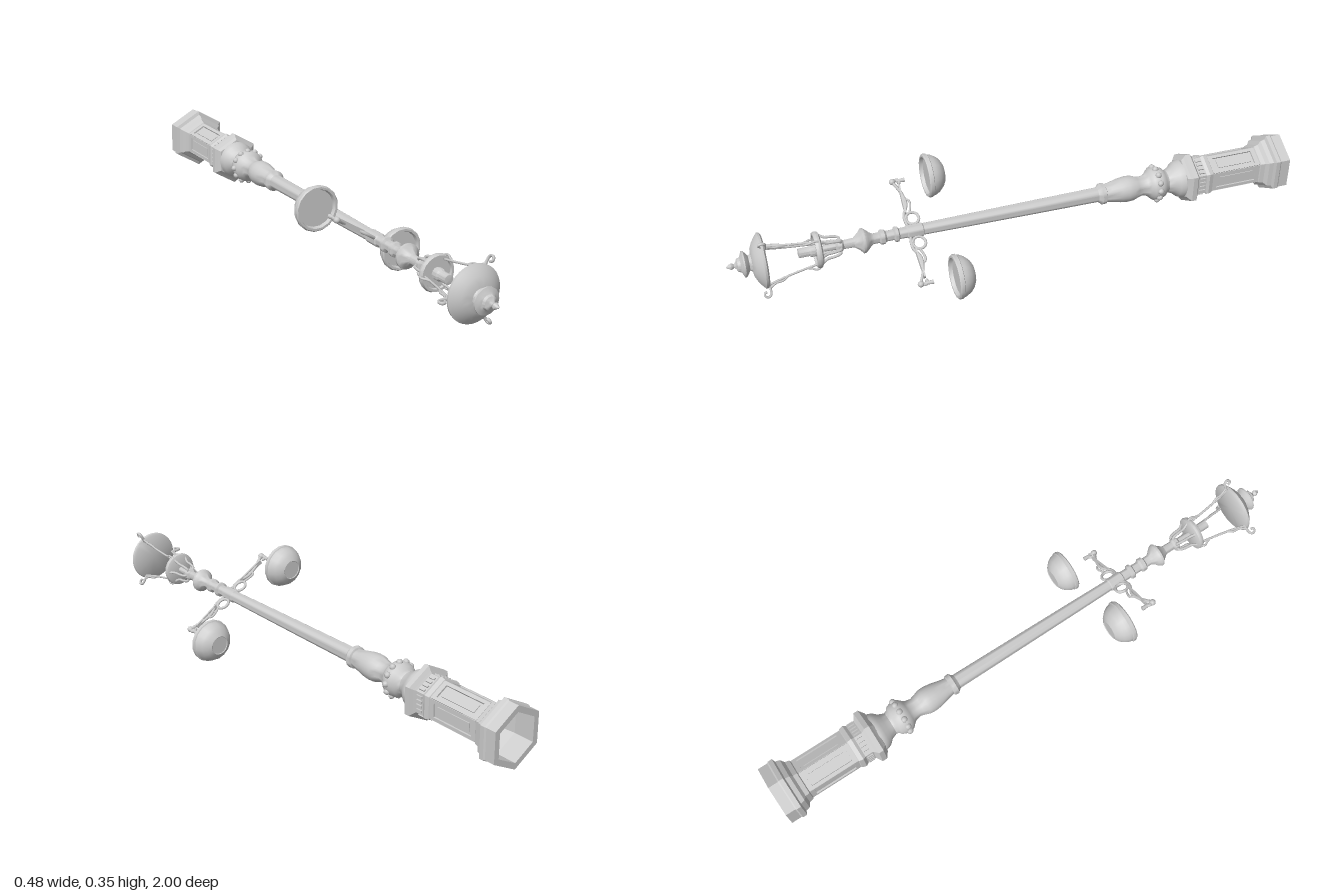
import * as THREE from 'three';
import { toCreasedNormals } from 'three/addons/utils/BufferGeometryUtils.js';

const smooth = new THREE.MeshStandardMaterial({ color: 0xcccccc, side: THREE.DoubleSide });
const faceted = new THREE.MeshStandardMaterial({ color: 0xcccccc, side: THREE.DoubleSide, flatShading: true });

function add(parent, name, geometry, material = smooth) {
  const mesh = new THREE.Mesh(geometry, material);
  mesh.name = name;
  parent.add(mesh);
  return mesh;
}

// profile: [radius, height] pairs from low to high
function lathe(profile, sides) {
  const geo = new THREE.LatheGeometry(profile.map(([r, h]) => new THREE.Vector2(r, h)), sides);
  return toCreasedNormals(geo, 0.7);
}

// round bar through [radius, height] points in the local XY plane
function bar(points, thickness, segments = 24) {
  const curve = new THREE.CatmullRomCurve3(points.map(([x, y]) => new THREE.Vector3(x, y, 0)));
  return new THREE.TubeGeometry(curve, segments, thickness, 6);
}

// spiral that ends a wrought bar
function scroll(cx, cy, r, start, turn, n = 8) {
  return Array.from({ length: n }, (_, i) => {
    const t = i / (n - 1), a = start + turn * t, rr = r * (1 - 0.45 * t);
    return [cx + rr * Math.cos(a), cy + rr * Math.sin(a)];
  });
}

function around(parent, name, count, offset, build) {
  for (let i = 0; i < count; i++) {
    const g = new THREE.Group();
    g.name = name;
    g.rotation.y = offset + (i * Math.PI * 2) / count;
    build(g);
    parent.add(g);
  }
}

function pedestal() {
  const g = new THREE.Group();
  g.name = 'pedestal';
  g.rotation.y = -0.03;
  // hollow hexagonal shell, open below
  add(g, 'pedestalShell', lathe([
    [0.085, -1], [0.107, -1], [0.107, -0.965], [0.111, -0.96], [0.111, -0.945], [0.098, -0.94],
    [0.094, -0.925], [0.08, -0.915], [0.076, -0.9], [0.066, -0.895], [0.066, -0.715], [0.076, -0.71],
    [0.08, -0.695], [0.074, -0.685], [0.074, -0.655], [0.082, -0.65], [0.096, -0.642], [0.096, -0.625],
    [0.086, -0.618], [0.076, -0.61], [0.04, -0.605],
  ], 6), faceted);
  add(g, 'pedestalLining', lathe([[0.085, -1], [0.085, -0.93], [0.06, -0.9], [0.06, -0.62]], 6), faceted);

  // framed panel and small blocks on each face
  around(g, 'pedestalFace', 6, 0, (face) => {
    const w = 0.035, low = -0.897, high = -0.712;
    const shape = new THREE.Shape([[-w, low], [w, low], [w, high], [-w, high]].map((p) => new THREE.Vector2(...p)));
    const hw = w - 0.011;
    shape.holes.push(new THREE.Path([[-hw, low + 0.016], [-hw, high - 0.016], [hw, high - 0.016], [hw, low + 0.016]]
      .map((p) => new THREE.Vector2(...p))));
    const frame = add(face, 'panelFrame', new THREE.ExtrudeGeometry(shape, { depth: 0.007, bevelEnabled: false }), faceted);
    const apothem = 0.066 * Math.cos(Math.PI / 6);
    frame.rotation.y = Math.PI / 2;
    frame.position.x = apothem - 0.001;
    const panel = add(face, 'raisedPanel', new THREE.BoxGeometry(0.006, 0.13, 0.03), faceted);
    panel.position.set(apothem, -0.805, 0);
    for (const z of [-0.024, -0.008, 0.008, 0.024]) {
      const block = add(face, 'dentil', new THREE.BoxGeometry(0.008, 0.022, 0.008), faceted);
      block.position.set(0.065, -0.67, z);
    }
  });
  return g;
}

function column() {
  const g = new THREE.Group();
  g.name = 'column';
  add(g, 'lowerTurning', lathe([
    [0.068, -0.618], [0.068, -0.605], [0.062, -0.59], [0.048, -0.575], [0.04, -0.555], [0.044, -0.545],
    [0.052, -0.54], [0.058, -0.525], [0.06, -0.51], [0.056, -0.495], [0.046, -0.485], [0.038, -0.475],
    [0.034, -0.455], [0.038, -0.44], [0.045, -0.42], [0.046, -0.4], [0.043, -0.375], [0.035, -0.34],
    [0.031, -0.32], [0.037, -0.317], [0.038, -0.303], [0.032, -0.298], [0.026, -0.29],
  ], 24));
  around(g, 'beadPosition', 12, 0, (b) => {
    add(b, 'bead', new THREE.SphereGeometry(0.011, 8, 6)).position.set(0.058, -0.512, 0);
  });
  add(g, 'shaft', lathe([[0.026, -0.292], [0.024, -0.05], [0.0215, 0.2], [0.0185, 0.43]], 20));
  add(g, 'upperTurning', lathe([
    [0.018, 0.34], [0.023, 0.345], [0.023, 0.395], [0.018, 0.4], [0.018, 0.425], [0.026, 0.43], [0.026, 0.44],
    [0.018, 0.445], [0.018, 0.47], [0.025, 0.477], [0.025, 0.49], [0.018, 0.495], [0.018, 0.515],
    [0.024, 0.525], [0.034, 0.535], [0.042, 0.545], [0.042, 0.553], [0.032, 0.56], [0.024, 0.57],
    [0.016, 0.58], [0.015, 0.615], [0.022, 0.622], [0.022, 0.635], [0.012, 0.642], [0.01, 0.7],
  ], 20));
  return g;
}

function sideArm(g) {
  const reach = 0.193;
  const ring = add(g, 'armRing', new THREE.TorusGeometry(0.022, 0.005, 8, 20));
  ring.position.set(0.046, 0.367, 0);
  add(g, 'armBar', bar([[0.015, 0.39], [0.06, 0.393], [0.1, 0.375], [0.14, 0.379], [0.17, 0.39],
    ...scroll(reach - 0.006, 0.385, 0.013, Math.PI * 0.75, -Math.PI * 1.6)], 0.0055, 48));
  const strap = add(g, 'armStrap', new THREE.BoxGeometry(0.105, 0.006, 0.016));
  strap.position.set(0.12, 0.383, 0);
  strap.rotation.z = -0.04;
  add(g, 'armScroll', bar([[0.07, 0.37], [0.095, 0.362], ...scroll(0.108, 0.372, 0.011, -Math.PI / 2, Math.PI * 1.5)], 0.004, 32));
  add(g, 'armTip', new THREE.SphereGeometry(0.011, 10, 8)).position.set(reach, 0.4, 0);
  add(g, 'armHanger', new THREE.CylinderGeometry(0.005, 0.008, 0.03, 8)).position.set(reach, 0.372, 0);

  // bowl shade with a raised rim and a recessed disc
  const bowl = add(g, 'bowlShade', lathe([
    [0, 0.222], [0.032, 0.222], [0.034, 0.22], [0.05, 0.229], [0.062, 0.241], [0.07, 0.255], [0.073, 0.268],
    [0.0765, 0.27], [0.0765, 0.281], [0.073, 0.285], [0.066, 0.285], [0.062, 0.273], [0, 0.273],
  ], 16));
  bowl.position.x = reach;
}

function lantern() {
  const g = new THREE.Group();
  g.name = 'lantern';
  // cradle and tray
  around(g, 'cradle', 6, 0, (c) => {
    add(c, 'cradleRib', bar([[0.016, 0.625], [0.027, 0.628], [0.034, 0.65], [0.037, 0.675], [0.05, 0.695]], 0.005, 16));
  });
  add(g, 'tray', lathe([[0, 0.69], [0.05, 0.69], [0.06, 0.695], [0.062, 0.703], [0.058, 0.712], [0.05, 0.712], [0.048, 0.705], [0, 0.705]], 20));
  add(g, 'lampHolder', lathe([[0.02, 0.7], [0.02, 0.725], [0.016, 0.73], [0.016, 0.765], [0, 0.768]], 12));

  // posts that end in outward curls
  around(g, 'lanternSide', 3, Math.PI / 3, (s) => {
    add(s, 'lanternPost', bar([[0.046, 0.7], [0.056, 0.76], [0.068, 0.82], [0.083, 0.878]], 0.004, 12));
    add(s, 'postBracket', bar([[0.06, 0.7], [0.064, 0.715], [0.057, 0.73], [0.053, 0.745]], 0.004, 12));
    add(s, 'upperBracket', bar([[0.066, 0.81], [0.078, 0.83], [0.08, 0.85], [0.092, 0.872]], 0.004, 12));
    const curl = add(s, 'roofCurl', bar([[0.08, 0.875], [0.098, 0.873],
      ...scroll(0.111, 0.886, 0.0125, -Math.PI / 2, Math.PI * 1.5)], 0.004, 32));
    curl.scale.z = 1.4;
  });

  // domed roof with a closed underside, then the finial
  add(g, 'roof', lathe([
    [0, 0.874], [0.085, 0.874], [0.092, 0.879], [0.093, 0.886], [0.087, 0.891], [0.077, 0.899], [0.063, 0.908],
    [0.048, 0.915], [0.03, 0.918], [0.025, 0.925],
  ], 32));
  add(g, 'finial', lathe([
    [0.025, 0.916], [0.024, 0.926], [0.034, 0.932], [0.044, 0.94], [0.044, 0.945], [0.032, 0.95], [0.025, 0.954],
    [0.022, 0.963], [0.012, 0.968], [0.006, 0.974], [0.01, 0.979], [0.011, 0.984], [0.007, 0.99], [0.004, 0.996], [0, 1],
  ], 16));
  return g;
}

export function createModel() {
  const model = new THREE.Group();
  model.name = 'streetLamp';
  // built upright, then laid down with the lantern toward +z
  const lamp = new THREE.Group();
  lamp.name = 'lamp';
  lamp.rotation.x = Math.PI / 2;
  lamp.position.y = 0.1785;
  lamp.add(pedestal(), column(), lantern());
  around(lamp, 'sideArm', 2, THREE.MathUtils.degToRad(148.2), sideArm);
  model.add(lamp);
  return model;
}
